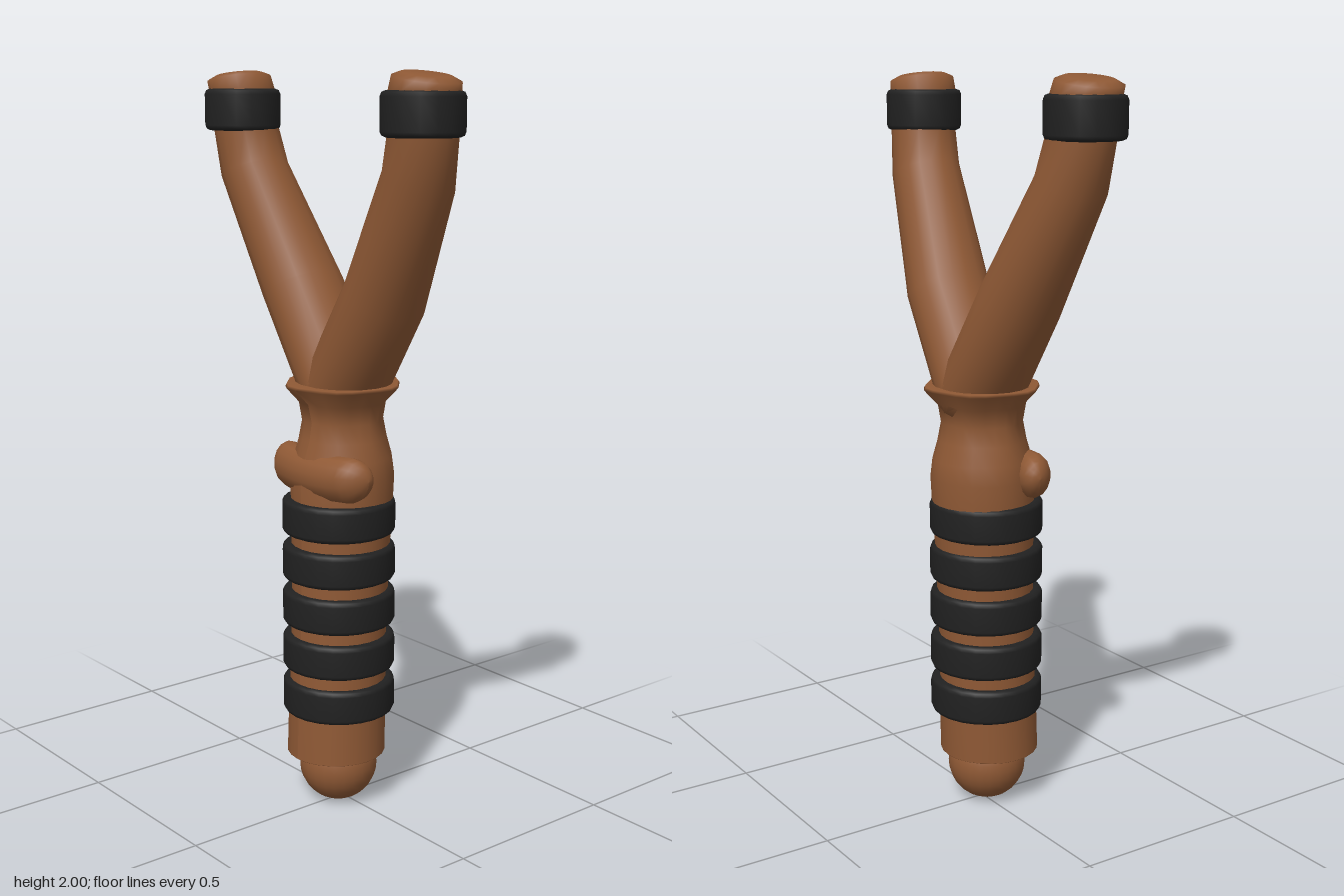
import * as THREE from 'three';

const wood = new THREE.MeshStandardMaterial({ color: 0x8f5935 });
wood.name = 'brownWood';
const rubber = new THREE.MeshStandardMaterial({ color: 0x212121 });
rubber.name = 'blackRubber';

function part(name, geometry, material, x = 0, y = 0, z = 0) {
  const mesh = new THREE.Mesh(geometry, material);
  mesh.name = name;
  mesh.position.set(x, y, z);
  return mesh;
}

// Closed skin over elliptical rings: [x, y, z, radiusX, radiusZ, lean towards +x]
function loft(rings, sides) {
  const pos = [], index = [];
  for (const [x, y, z, rx, rz, lean] of rings) {
    for (let j = 0; j < sides; j++) {
      const t = (j / sides) * Math.PI * 2, c = rx * Math.cos(t);
      pos.push(x + c * Math.cos(lean), y - c * Math.sin(lean), z + rz * Math.sin(t));
    }
  }
  for (let i = 0; i < rings.length - 1; i++) {
    for (let j = 0; j < sides; j++) {
      const a = i * sides + j, b = i * sides + ((j + 1) % sides);
      index.push(a, a + sides, b, b, a + sides, b + sides);
    }
  }
  const first = pos.length / 3, top = (rings.length - 1) * sides;
  pos.push(...rings[0].slice(0, 3), ...rings[rings.length - 1].slice(0, 3));
  for (let j = 0; j < sides; j++) {
    const k = (j + 1) % sides;
    index.push(first, j, k, first + 1, top + k, top + j);
  }
  const g = new THREE.BufferGeometry();
  g.setAttribute('position', new THREE.Float32BufferAttribute(pos, 3));
  g.setIndex(index);
  g.computeVertexNormals();
  return g;
}

// Grip band with bevelled edges
function bandGeometry(r, inner, h, sides) {
  const b = 0.014, k = h / 2;
  const profile = [
    [inner, -k], [r - b, -k], [r - b * 0.3, -k + b * 0.3], [r, -k + b],
    [r, k - b], [r - b * 0.3, k - b * 0.3], [r - b, k], [inner, k],
  ].map(([x, y]) => new THREE.Vector2(x, y));
  return new THREE.LatheGeometry(profile, sides);
}

// Handle with a bulge, a twisted waist and a flared collar
function handleGeometry() {
  const profile = [
    [0, 0.15], [0.136, 0.15], [0.136, 0.151], [0.135, 0.27], [0.131, 0.45], [0.133, 0.7],
    [0.139, 0.86], [0.141, 0.94], [0.133, 0.99], [0.117, 1.04], [0.108, 1.09],
    [0.118, 1.14], [0.156, 1.183], [0.152, 1.19], [0, 1.19],
  ].map(([x, y]) => new THREE.Vector2(x, y));
  const g = new THREE.LatheGeometry(profile, 24);
  const p = g.attributes.position;
  for (let i = 0; i < p.count; i++) {
    const x = p.getX(i), y = p.getY(i), z = p.getZ(i);
    // Shallow spiral grooves around the waist
    const waist = THREE.MathUtils.smoothstep(y, 0.95, 1.08);
    const f = 1 + 0.035 * waist * Math.cos(6 * Math.atan2(z, x) + (y - 1) * 10);
    const shift = THREE.MathUtils.lerp(0.022, -0.002, THREE.MathUtils.clamp((y - 0.15) / 0.85, 0, 1));
    p.setXYZ(i, x * f, y, z * f + shift);
  }
  g.computeVertexNormals();
  return g;
}

// Crossguard: a capsule bowed towards the front
function guardGeometry() {
  const g = new THREE.CapsuleGeometry(0.062, 0.246, 6, 14, 8);
  g.rotateZ(Math.PI / 2);
  g.scale(1, 1, 0.82);
  const p = g.attributes.position;
  for (let i = 0; i < p.count; i++) {
    const u = p.getX(i) / 0.185;
    p.setZ(i, p.getZ(i) + 0.035 * (1 - u * u));
    p.setY(i, p.getY(i) + 0.008 * u * u);
  }
  g.computeVertexNormals();
  return g;
}

export function createModel() {
  const model = new THREE.Group();
  model.name = 'slingshot';

  model.add(part('handle', handleGeometry(), wood));
  model.add(part('pommel', new THREE.SphereGeometry(0.108, 24, 16), wood, 0, 0.108, 0.014));
  model.add(part('crossguard', guardGeometry(), wood, 0, 0.95, 0.06));

  const gripBand = bandGeometry(0.154, 0.12, 0.096, 24);
  for (let i = 0; i < 5; i++) {
    model.add(part('gripBand' + (i + 1), gripBand, rubber, 0, 0.318 + i * 0.1275, 0.012));
  }

  // Forked arms, mirrored left and right
  for (const s of [1, -1]) {
    const side = s > 0 ? 'left' : 'right';
    const fork = new THREE.Group();
    fork.name = side + 'Fork';
    const rings = [
      [-0.01, 1.13, -0.006, 0.085, 0.115, 0.4],
      [0.012, 1.19, -0.006, 0.104, 0.122, 0.52],
      [0.17, 1.43, 0, 0.105, 0.115, 0.5],
      [0.335, 1.735, 0.035, 0.092, 0.094, 0.36],
      [0.361, 1.85, 0.044, 0.087, 0.088, 0.12],
      [0.371, 1.95, 0.05, 0.088, 0.09, 0.04],
      [0.38, 1.978, 0.052, 0.084, 0.088, 0.16],
      [0.38, 1.989, 0.053, 0.06, 0.065, 0.16],
    ].map(([x, y, z, rx, rz, lean]) => [x * s, y, z, rx, rz, lean * s]);
    fork.add(part(side + 'Arm', loft(rings, 18), wood));
    fork.add(part(side + 'TipBand', bandGeometry(0.104, 0.07, 0.11, 16), rubber, 0.367 * s, 1.896, 0.051));
    model.add(fork);
  }
  return model;
}
